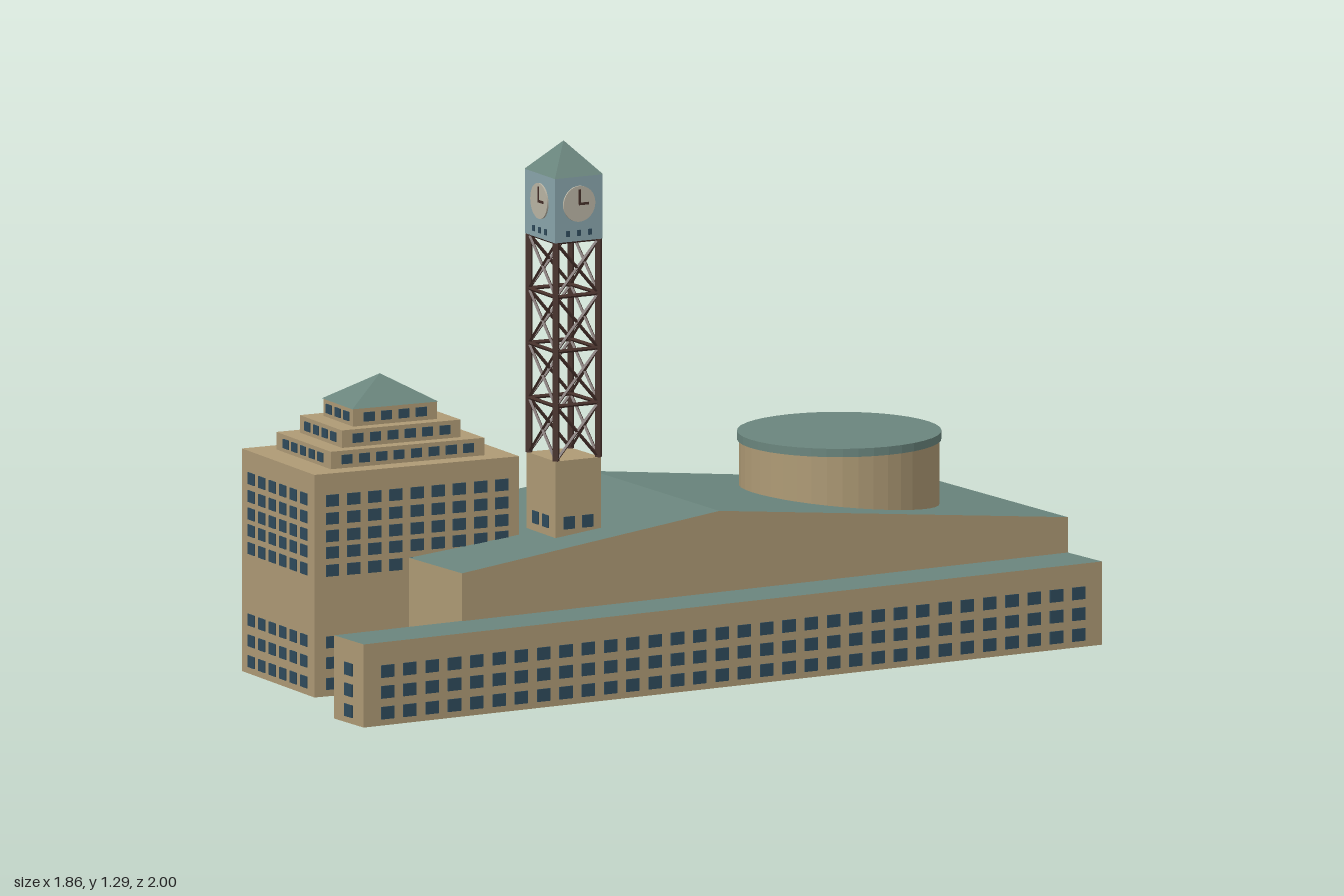
import * as THREE from 'three';
import { mergeGeometries } from 'three/addons/utils/BufferGeometryUtils.js';

const mat = (name, color) => {
  const m = new THREE.MeshStandardMaterial({ color });
  m.name = name;
  return m;
};

export function createModel() {
  const model = new THREE.Group();
  const stone = mat('sandstone', 0xae9a75);
  const copper = mat('copper roof', 0x6a857d);
  const glass = mat('window glass', 0x2f4b5c);
  const panel = mat('clock housing', 0x89a5ab);
  const steel = mat('dark steel', 0x46302a);
  const ivory = mat('dial', 0xb9b4a4);

  const add = (name, geo, material) => {
    const mesh = new THREE.Mesh(geo, material);
    mesh.name = name;
    model.add(mesh);
    return mesh;
  };
  const centre = (pts) => pts.reduce((c, p) => [c[0] + p[0] / pts.length, c[1] + p[1] / pts.length], [0, 0]);
  const scaled = (pts, k) => {
    const c = centre(pts);
    return pts.map((p) => [c[0] + (p[0] - c[0]) * k, c[1] + (p[1] - c[1]) * k]);
  };

  // Upright block over a plan of [x, z] corners; one top height per corner, optional taper
  function prism(name, pts, y0, tops, wall, top = wall, taper = 1) {
    const geo = new THREE.ExtrudeGeometry(new THREE.Shape(pts.map((p) => new THREE.Vector2(p[0], -p[1]))),
      { depth: 1, bevelEnabled: false });
    geo.rotateX(-Math.PI / 2);
    const pos = geo.attributes.position, c = centre(pts);
    for (let i = 0; i < pos.count; i++) {
      const x = pos.getX(i), z = pos.getZ(i);
      if (pos.getY(i) < 0.5) { pos.setY(i, y0); continue; }
      const k = pts.findIndex((p) => Math.hypot(p[0] - x, p[1] - z) < 1e-4);
      pos.setXYZ(i, c[0] + (x - c[0]) * taper, Array.isArray(tops) ? tops[k] : tops, c[1] + (z - c[1]) * taper);
    }
    geo.computeVertexNormals();
    const caps = geo.groups[0].count;
    geo.clearGroups();
    geo.addGroup(0, caps / 2, 0);
    geo.addGroup(caps / 2, caps / 2, 1);
    geo.addGroup(caps, pos.count - caps, 0);
    return add(name, geo, [wall, top]);
  }

  // Frame on a wall: x along it, y up, z outward, origin at the middle of its foot
  function wallFrame(a, b, inside) {
    const mid = [(a[0] + b[0]) / 2, (a[1] + b[1]) / 2];
    const len = Math.hypot(b[0] - a[0], b[1] - a[1]);
    let n = [(b[1] - a[1]) / len, -(b[0] - a[0]) / len];
    if (n[0] * (mid[0] - inside[0]) + n[1] * (mid[1] - inside[1]) < 0) n = [-n[0], -n[1]];
    const m = new THREE.Matrix4().makeBasis(new THREE.Vector3(n[1], 0, -n[0]),
      new THREE.Vector3(0, 1, 0), new THREE.Vector3(n[0], 0, n[1]));
    m.setPosition(mid[0], 0, mid[1]);
    return { m, len };
  }

  const panes = [];
  function windows(a, b, inside, rows, pitch = 0.062, w = 0.036, h = 0.03) {
    const { m, len } = wallFrame(a, b, inside);
    const n = Math.max(1, Math.floor((len - 0.02) / pitch));
    for (const y of rows) {
      for (let i = 0; i < n; i++) {
        const g = new THREE.BoxGeometry(w, h, 0.006);
        g.translate((i - (n - 1) / 2) * pitch, y, 0);
        panes.push(g.applyMatrix4(m));
      }
    }
  }
  const around = (pts, ...rest) =>
    pts.forEach((p, i) => windows(p, pts[(i + 1) % pts.length], centre(pts), ...rest));

  const low = [0.03, 0.08, 0.13];

  // Low front wing
  const wing = [[-0.45, 1.0], [0.93, -0.52], [0.82, -0.61], [-0.55, 0.905]];
  prism('frontWing', wing, 0, 0.2, stone, copper);
  windows(wing[0], wing[1], centre(wing), low);
  windows(wing[1], wing[2], centre(wing), low);
  windows(wing[3], wing[0], centre(wing), low);
  windows(wing[3], [-0.31, 0.645], centre(wing), low);

  // Main hall: two blocks meeting at the ridge
  const hall = [[-0.31, 0.645], [0.82, -0.61], [0.375, -1.0], [-0.757, 0.238]];
  const ridge = [[0.17, 0.112], [-0.26, -0.306]];
  prism('hallNear', [hall[0], ridge[0], ridge[1], hall[3]], 0, [0.315, 0.395, 0.395, 0.315], stone, copper);
  prism('hallFar', [ridge[0], hall[1], hall[2], ridge[1]], 0, [0.395, 0.285, 0.285, 0.395], stone, copper);
  windows(hall[1], hall[2], centre(hall), low);
  windows(hall[2], [-0.54, 0], centre(hall), low);
  windows(hall[0], [-0.48, 0.49], centre(hall), low);

  // Rotunda on the hall roof
  const drum = (name, r, y0, y1, material) => {
    const g = new THREE.CylinderGeometry(r, r, y1 - y0, 40).toNonIndexed();
    g.computeVertexNormals();
    g.translate(0.295, (y0 + y1) / 2, -0.48);
    add(name, g, material);
  };
  drum('rotunda', 0.237, 0.25, 0.47, stone);
  drum('rotundaRoof', 0.242, 0.47, 0.49, copper);

  // Office block with stepped tiers and a pyramid roof
  const block = [[-0.93, 0.37], [-0.54, 0], [-0.272, 0.287], [-0.67, 0.655]];
  prism('officeBlock', block, 0, 0.535, stone);
  around(block, [...low, 0.302, 0.345, 0.385, 0.427, 0.47], 0.056, 0.034, 0.028);
  [0.75, 0.58, 0.41].forEach((k, i) => {
    const tier = scaled(block, k), y = 0.535 + i * 0.042;
    prism('officeTier', tier, y, y + 0.042, stone);
    around(tier, [y + 0.021], 0.046, 0.028, 0.022);
  });
  prism('officeRoof', scaled(block, 0.42), 0.661, 0.725, copper, copper, 0.001);

  // Clock tower: stone foot, steel lattice, housing and roof
  const head = [[-0.275, 0.225], [-0.185, 0.142], [-0.08, 0.243], [-0.17, 0.335]];
  const foot = scaled(head, 0.96);
  prism('clockTowerFoot', foot, 0.25, 0.535, stone);
  around(foot, [0.385], 0.05, 0.03, 0.03);

  const bars = [];
  const bar = (a, ya, b, yb, t) => {
    const p = new THREE.Vector3(a[0], ya, a[1]), q = new THREE.Vector3(b[0], yb, b[1]);
    const g = new THREE.BoxGeometry(t, p.distanceTo(q), t);
    g.applyQuaternion(new THREE.Quaternion().setFromUnitVectors(
      new THREE.Vector3(0, 1, 0), q.clone().sub(p).normalize()));
    const c = p.add(q).multiplyScalar(0.5);
    bars.push(g.translate(c.x, c.y, c.z));
  };
  const legs = scaled(head, 0.9), bay = 0.525 / 4;
  legs.forEach((a, i) => {
    const b = legs[(i + 1) % 4];
    bar(a, 0.535, a, 1.06, 0.013);
    for (let k = 0; k < 4; k++) {
      const y = 0.535 + k * bay;
      bar(a, y, b, y + bay, 0.006);
      bar(b, y, a, y + bay, 0.006);
      bar(a, y + bay, b, y + bay, 0.007);
    }
  });
  add('clockTowerLattice', mergeGeometries(bars), steel);

  prism('clockHousing', head, 1.06, 1.215, panel);
  prism('clockTowerRoof', scaled(head, 1.02), 1.215, 1.29, copper, copper, 0.001);

  // Dials, hands and small vents on each side of the housing
  const dials = [], hands = [];
  head.forEach((a, i) => {
    const { m } = wallFrame(a, head[(i + 1) % 4], centre(head));
    dials.push(new THREE.CylinderGeometry(0.043, 0.043, 0.006, 32)
      .rotateX(Math.PI / 2).translate(0, 1.15, 0.001).applyMatrix4(m));
    hands.push(new THREE.BoxGeometry(0.006, 0.036, 0.004).translate(0, 1.167, 0.004).applyMatrix4(m));
    hands.push(new THREE.BoxGeometry(0.026, 0.006, 0.004).translate(0.011, 1.15, 0.004).applyMatrix4(m));
    for (const x of [-0.03, 0, 0.03]) {
      panes.push(new THREE.BoxGeometry(0.009, 0.014, 0.006).translate(x, 1.08, 0).applyMatrix4(m));
    }
  });
  add('clockDials', mergeGeometries(dials), ivory);
  add('clockHands', mergeGeometries(hands), steel);
  add('windows', mergeGeometries(panes), glass);

  return model;
}
